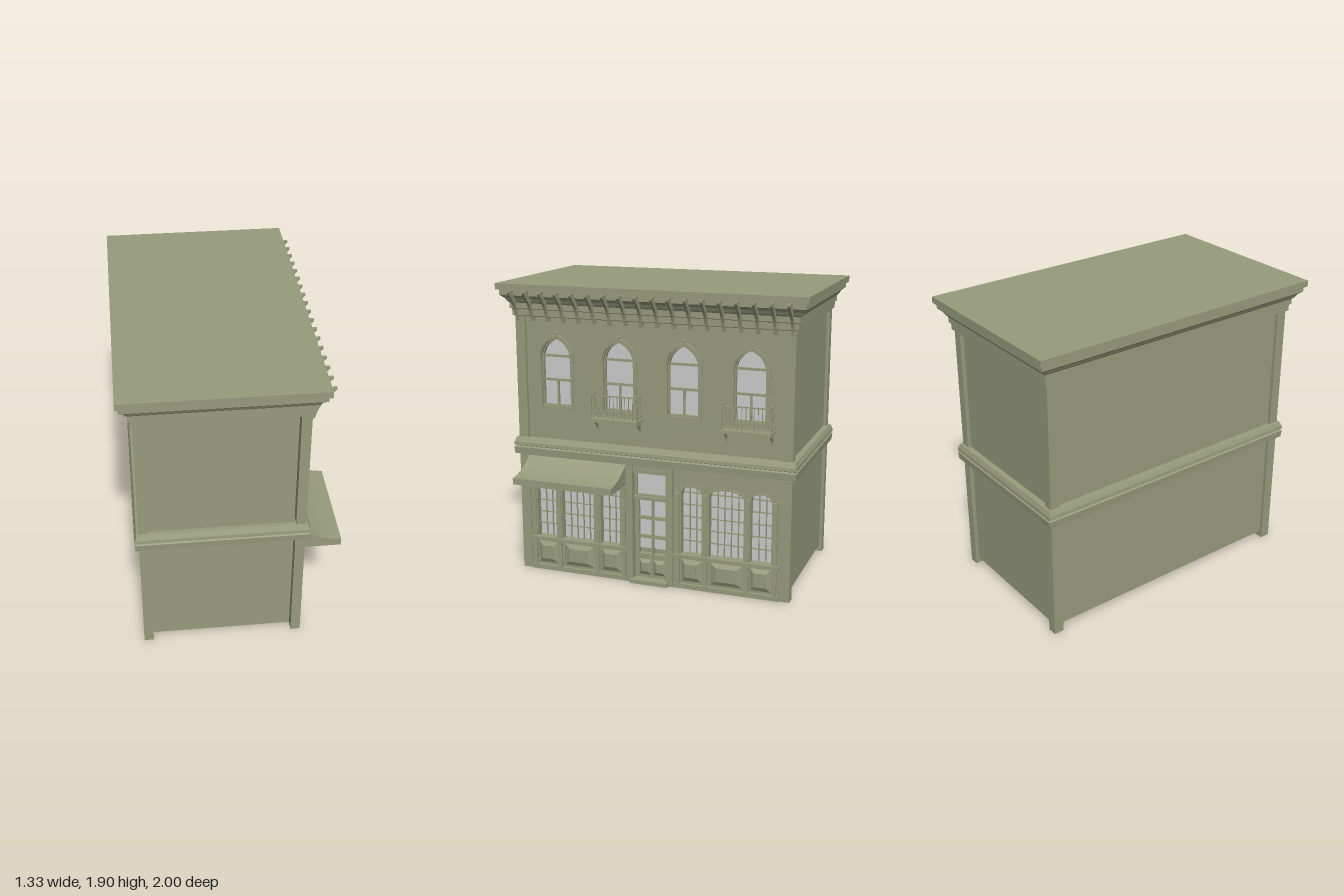
import * as THREE from 'three';

const stone = new THREE.MeshStandardMaterial({ color: 0x979b7c, flatShading: true, side: THREE.DoubleSide });
const glass = new THREE.MeshStandardMaterial({ color: 0xcccccc });

export function createModel() {
  const root = new THREE.Group();
  root.name = 'townBuilding';
  const add = (name, geo, mat = stone, parent = root) => {
    const m = new THREE.Mesh(geo, mat);
    m.name = name;
    parent.add(m);
    return m;
  };
  // box given by its extents
  const box = (name, x0, x1, y0, y1, z0, z1, mat, parent) =>
    add(name, new THREE.BoxGeometry(x1 - x0, y1 - y0, z1 - z0)
      .translate((x0 + x1) / 2, (y0 + y1) / 2, (z0 + z1) / 2), mat, parent);
  // shape drawn as seen from the street (u = -z), extruded along x
  const slab = (name, shape, x0, x1, mat, parent) =>
    add(name, new THREE.ExtrudeGeometry(shape, { depth: x1 - x0, bevelEnabled: false, curveSegments: 10 })
      .rotateY(Math.PI / 2).translate(x0, 0, 0), mat, parent);
  const rect = (u0, u1, y0, y1, C = THREE.Shape) =>
    new C([[u0, y0], [u1, y0], [u1, y1], [u0, y1]].map((p) => new THREE.Vector2(...p)));
  // arched outline: k = 1 gives a round head, less gives a pointed one
  const arch = (c, hw, y0, spring, top, k, C = THREE.Shape) => {
    const cy = spring + k * (top - spring);
    const p = new C();
    p.moveTo(c - hw, y0);
    p.lineTo(c - hw, spring);
    p.quadraticCurveTo(c - hw, cy, c, top);
    p.quadraticCurveTo(c + hw, cy, c + hw, spring);
    p.lineTo(c + hw, y0);
    return p;
  };
  // arch-shaped strip between two outlines, open at the bottom
  const band = (outer, inner) =>
    new THREE.Shape([...outer.getPoints(10), ...inner.getPoints(10).reverse()]);
  // moulding running round the building from a profile of [offset, y]
  const moulding = (name, profile) => {
    const v = [];
    const ring = ([o, y]) => [[0.42 + o, y, 0.912 + o], [0.42 + o, y, -0.912 - o],
      [-0.58 - o, y, -0.912 - o], [-0.58 - o, y, 0.912 + o]];
    const quad = (a, b, c, d) => v.push(...a, ...b, ...c, ...a, ...c, ...d);
    const rings = profile.map(ring);
    for (let i = 0; i + 1 < rings.length; i++) {
      for (let j = 0; j < 4; j++) {
        const k = (j + 1) % 4;
        quad(rings[i][j], rings[i][k], rings[i + 1][k], rings[i + 1][j]);
      }
    }
    quad(...rings[rings.length - 1]);
    quad(...rings[0].reverse());
    const g = new THREE.BufferGeometry();
    g.setAttribute('position', new THREE.Float32BufferAttribute(v, 3));
    g.computeVertexNormals();
    add(name, g);
  };

  // main block and corner pilasters
  box('body', -0.56, 0.35, 0.045, 1.8, -0.89, 0.89);
  for (const s of [-1, 1]) {
    for (const x of [-0.58, 0.36]) {
      const z = s * 0.8775;
      box('cornerPilaster', x, x + 0.06, 0, 1.75, z - 0.0325, z + 0.0325);
    }
  }

  // belt course and cornice
  moulding('beltCourse', [[0, 0.785], [0.022, 0.79], [0.026, 0.835], [0.012, 0.842],
    [0.026, 0.848], [0.024, 0.87], [0.012, 0.898], [0, 0.9]]);
  moulding('cornice', [[0, 1.69], [0.012, 1.695], [0.012, 1.735], [0.023, 1.74], [0.023, 1.775],
    [0.034, 1.785], [0.045, 1.805], [0.062, 1.82], [0.07, 1.825], [0.07, 1.858],
    [0.0875, 1.86], [0.0875, 1.9]]);

  // cornice brackets
  const br = new THREE.Shape();
  br.moveTo(0.4, 1.662);
  br.lineTo(0.434, 1.662);
  br.quadraticCurveTo(0.45, 1.745, 0.5, 1.795);
  br.quadraticCurveTo(0.525, 1.825, 0.548, 1.845);
  br.lineTo(0.548, 1.858);
  br.lineTo(0.4, 1.858);
  const brGeo = new THREE.ExtrudeGeometry(br, { depth: 0.016, bevelEnabled: false, curveSegments: 6 });
  for (let i = 0; i < 18; i++) add('corniceBracket', brGeo).position.z = -0.898 + i * 0.1048;

  // upper front wall with four pointed windows
  const upper = rect(-0.85, 0.85, 0.79, 1.75);
  const centres = [-0.643, -0.217, 0.208, 0.633];
  for (const c of centres) {
    upper.holes.push(arch(c, 0.1, 1.115, 1.42, 1.56, 0.7, THREE.Path));
    const w = new THREE.Group();
    w.name = 'upperWindow';
    root.add(w);
    slab('pane', rect(c - 0.11, c + 0.11, 1.1, 1.58), 0.352, 0.365, glass, w);
    for (const y of [1.285, 1.44]) box('transom', 0.36, 0.382, y - 0.007, y + 0.007, -c - 0.1, -c + 0.1, stone, w);
    box('mullion', 0.36, 0.38, 1.115, 1.285, -c - 0.006, -c + 0.006, stone, w);
    const sash = arch(c, 0.104, 1.11, 1.42, 1.565, 0.7);
    sash.holes.push(arch(c, 0.092, 1.125, 1.42, 1.55, 0.7, THREE.Path));
    slab('sash', sash, 0.36, 0.388, stone, w);
    const trim = arch(c, 0.12, 1.09, 1.42, 1.582, 0.7);
    trim.holes.push(arch(c, 0.1, 1.118, 1.42, 1.56, 0.7, THREE.Path));
    slab('surround', trim, 0.395, 0.408, stone, w);
    slab('hood', band(arch(c, 0.125, 1.41, 1.42, 1.588, 0.7), arch(c, 0.106, 1.41, 1.42, 1.568, 0.7)),
      0.395, 0.416, stone, w);
    for (const s of [-1, 1]) {
      box('hoodStop', 0.395, 0.418, 1.4, 1.418, -c + s * 0.115 - 0.013, -c + s * 0.115 + 0.013, stone, w);
    }
    slab('keystone', new THREE.Shape([[-0.013, 1.555], [0.013, 1.555], [0.018, 1.59], [0, 1.608], [-0.018, 1.59]]
      .map(([u, y]) => new THREE.Vector2(c + u, y))), 0.395, 0.42, stone, w);
  }
  slab('upperFrontWall', upper, 0.345, 0.4);

  // balconies on the second and fourth windows
  const console_ = new THREE.Shape();
  console_.moveTo(0.395, 0.99);
  console_.lineTo(0.412, 0.99);
  console_.quadraticCurveTo(0.415, 1.035, 0.45, 1.045);
  console_.lineTo(0.455, 1.065);
  console_.lineTo(0.395, 1.065);
  for (const z of [0.217, -0.633]) {
    const b = new THREE.Group();
    b.name = 'balcony';
    b.position.z = z;
    root.add(b);
    box('floor', 0.395, 0.496, 1.068, 1.08, -0.16, 0.16, stone, b);
    box('floorEdge', 0.395, 0.485, 1.055, 1.068, -0.15, 0.15, stone, b);
    for (const s of [-1, 1]) {
      add('console', new THREE.ExtrudeGeometry(console_, { depth: 0.012, bevelEnabled: false, curveSegments: 5 }),
        stone, b).position.z = s * 0.143 - 0.006;
      box('post', 0.482, 0.492, 1.08, 1.242, s * 0.152 - 0.005, s * 0.152 + 0.005, stone, b);
      for (const y of [1.1, 1.23]) box('sideRail', 0.395, 0.487, y - 0.004, y + 0.004, s * 0.152 - 0.004, s * 0.152 + 0.004, stone, b);
      for (let i = 0; i < 3; i++) {
        const x = 0.415 + i * 0.022;
        box('sideBaluster', x - 0.002, x + 0.002, 1.08, 1.23, s * 0.152 - 0.002, s * 0.152 + 0.002, stone, b);
      }
    }
    for (const y of [1.1, 1.23]) box('frontRail', 0.483, 0.491, y - 0.004, y + 0.004, -0.152, 0.152, stone, b);
    for (let i = 1; i < 12; i++) {
      const bz = -0.152 + i * 0.304 / 12;
      box('baluster', 0.485, 0.489, 1.08, 1.23, bz - 0.002, bz + 0.002, stone, b);
    }
  }

  // two mirrored shop fronts
  const panelGeo = new THREE.CylinderGeometry(0.38, Math.SQRT1_2, 1, 4).rotateY(Math.PI / 4).rotateZ(-Math.PI / 2);
  for (const s of [-1, 1]) {
    const g = new THREE.Group();
    g.name = 'shopFront';
    root.add(g);
    const o = s < 0 ? -0.01 : 0;
    const wall = s < 0 ? rect(-0.85, -0.16, 0, 0.8) : rect(0.145, 0.85, 0, 0.8);
    for (const [c0, hw, cols] of [[0.272, 0.067, 3], [0.5, 0.112, 5], [0.722, 0.067, 3]]) {
      const c = s * c0 + o * 0.6;
      wall.holes.push(arch(c, hw, 0.23, 0.615, 0.675, 1, THREE.Path));
      slab('pane', rect(c - hw - 0.01, c + hw + 0.01, 0.22, 0.69), 0.352, 0.372, glass, g);
      for (let i = 1; i < cols; i++) {
        const z = -c - hw + (2 * hw * i) / cols;
        box('glazingBar', 0.365, 0.382, 0.23, 0.68, z - 0.003, z + 0.003, stone, g);
      }
      for (let i = 1; i < 6; i++) {
        const y = 0.23 + i * 0.08;
        box('glazingBar', 0.365, 0.381, y - 0.003, y + 0.003, -c - hw, -c + hw, stone, g);
      }
      slab('archTrim', band(arch(c, hw + 0.012, 0.23, 0.615, 0.687, 1), arch(c, hw, 0.23, 0.615, 0.675, 1)),
        0.4, 0.42, stone, g);
      // bevelled panel below the sill
      const p = add('panel', panelGeo, stone, g);
      p.scale.set(0.02, 0.17, hw * 2 + 0.02);
      p.position.set(0.414, 0.12, -c);
      box('panelField', 0.41, 0.427, 0.105, 0.165, -c - hw * 0.5, -c + hw * 0.5, stone, g);
    }
    slab('wall', wall, 0.345, 0.41, stone, g);
    const zEnd = [-s * 0.84, -s * 0.155].sort((a, b) => a - b);
    box('sill', 0.4, 0.437, 0.205, 0.23, ...zEnd, stone, g);
    box('plinth', 0.4, 0.428, 0, 0.03, ...zEnd, stone, g);
    box('header', 0.4, 0.424, 0.755, 0.795, ...zEnd, stone, g);
    for (const c of [0.364, 0.633, 0.812, 0.18]) {
      const z = -s * c - o * 0.6;
      box('pier', 0.4, 0.426, 0, 0.62, z - 0.013, z + 0.013, stone, g);
      box('pierCap', 0.4, 0.432, 0.612, 0.632, z - 0.017, z + 0.017, stone, g);
    }
  }

  // doorway
  box('doorPost', 0.345, 0.432, 0, 0.795, 0.12, 0.165);
  box('doorPost', 0.345, 0.432, 0, 0.795, -0.15, -0.105);
  box('doorHeader', 0.345, 0.41, 0.735, 0.8, -0.11, 0.125);
  box('doorHeaderMould', 0.345, 0.42, 0.745, 0.76, -0.11, 0.125);
  box('doorLintel', 0.345, 0.405, 0.555, 0.575, -0.11, 0.125);
  box('doorStep', 0.345, 0.456, 0, 0.026, -0.12, 0.135);
  box('doorGlass', 0.345, 0.365, 0.22, 0.74, -0.11, 0.125, glass);
  const door = rect(-0.125, 0.11, 0.02, 0.74);
  door.holes.push(rect(-0.105, 0.095, 0.585, 0.722, THREE.Path));
  for (const u of [-0.05, 0.048]) {
    for (let r = 0; r < 3; r++) {
      const y = 0.185 + r * 0.127;
      door.holes.push(rect(u - 0.042, u + 0.042, y, y + 0.108, THREE.Path));
    }
    const p = add('doorPanel', panelGeo);
    p.scale.set(0.016, 0.11, 0.084);
    p.position.set(0.392, 0.098, -u);
  }
  slab('door', door, 0.352, 0.386);
  box('doorMeetingStile', 0.352, 0.392, 0.02, 0.555, -0.004, 0.006);

  // awning: curved canopy, side cheeks and a gently waved valance
  const awning = new THREE.Group();
  awning.name = 'awning';
  root.add(awning);
  const [za, zb] = [0.167, 0.842];
  const curve = new THREE.QuadraticBezierCurve(new THREE.Vector2(0.415, 0.788),
    new THREE.Vector2(0.52, 0.7), new THREE.Vector2(0.655, 0.69)).getPoints(10);
  const canopy = new THREE.PlaneGeometry(1, 1, 1, 10);
  const pos = canopy.attributes.position;
  for (let i = 0; i < pos.count; i++) {
    const p = curve[i >> 1];
    pos.setXYZ(i, p.x, p.y, i % 2 ? za : zb);
  }
  canopy.computeVertexNormals();
  add('canopy', canopy, stone, awning);
  const cheek = new THREE.Shape([...curve, new THREE.Vector2(0.66, 0.645), new THREE.Vector2(0.415, 0.645)]);
  for (const z of [za, zb]) add('cheek', new THREE.ShapeGeometry(cheek), stone, awning).position.z = z;
  const valance = new THREE.Shape();
  valance.moveTo(-zb, 0.69);
  for (let i = 0; i <= 36; i++) {
    valance.lineTo(-zb + ((zb - za) * i) / 36, 0.647 + 0.004 * Math.cos((i / 36) * Math.PI * 6));
  }
  valance.lineTo(-za, 0.69);
  slab('valance', valance, 0.653, 0.66, stone, awning);

  return root;
}
